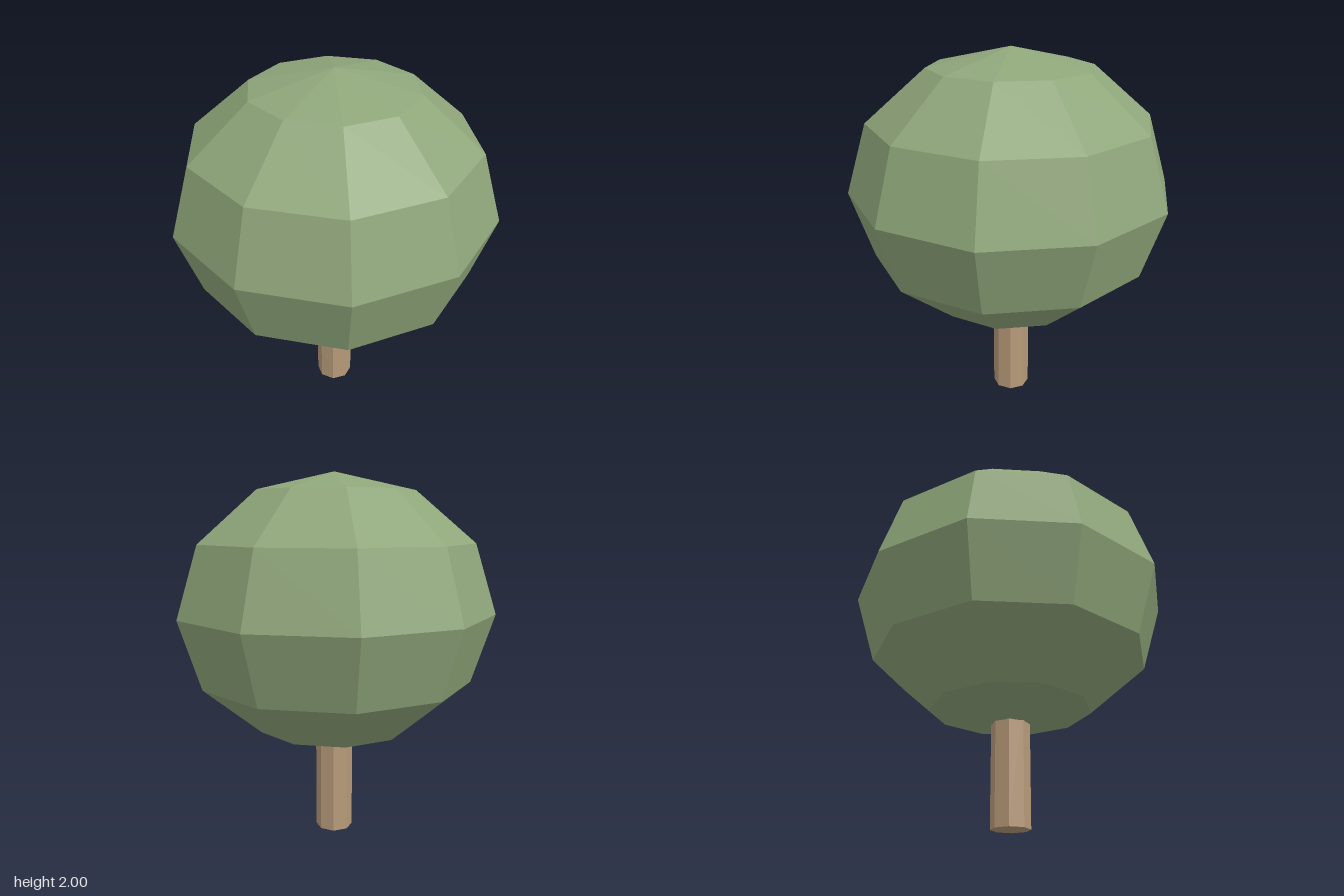
import * as THREE from 'three';

export function createModel() {
  const tree = new THREE.Group();
  tree.name = 'tree';

  const addPart = (name, geometry, color, y) => {
    const material = new THREE.MeshStandardMaterial({ color, flatShading: true });
    const mesh = new THREE.Mesh(geometry, material);
    mesh.name = name;
    mesh.position.y = y;
    tree.add(mesh);
    return mesh;
  };

  // Octagonal trunk, its top hidden inside the crown
  const trunkHeight = 0.65;
  addPart('trunk', new THREE.CylinderGeometry(0.103, 0.103, trunkHeight, 8), 0xb89b7a, trunkHeight / 2);

  // Faceted crown, a slightly flattened ball
  const crown = addPart('crown', new THREE.SphereGeometry(0.867, 10, 6), 0x8fa67a, 1.26);
  crown.scale.y = 0.74 / 0.867;

  return tree;
}
